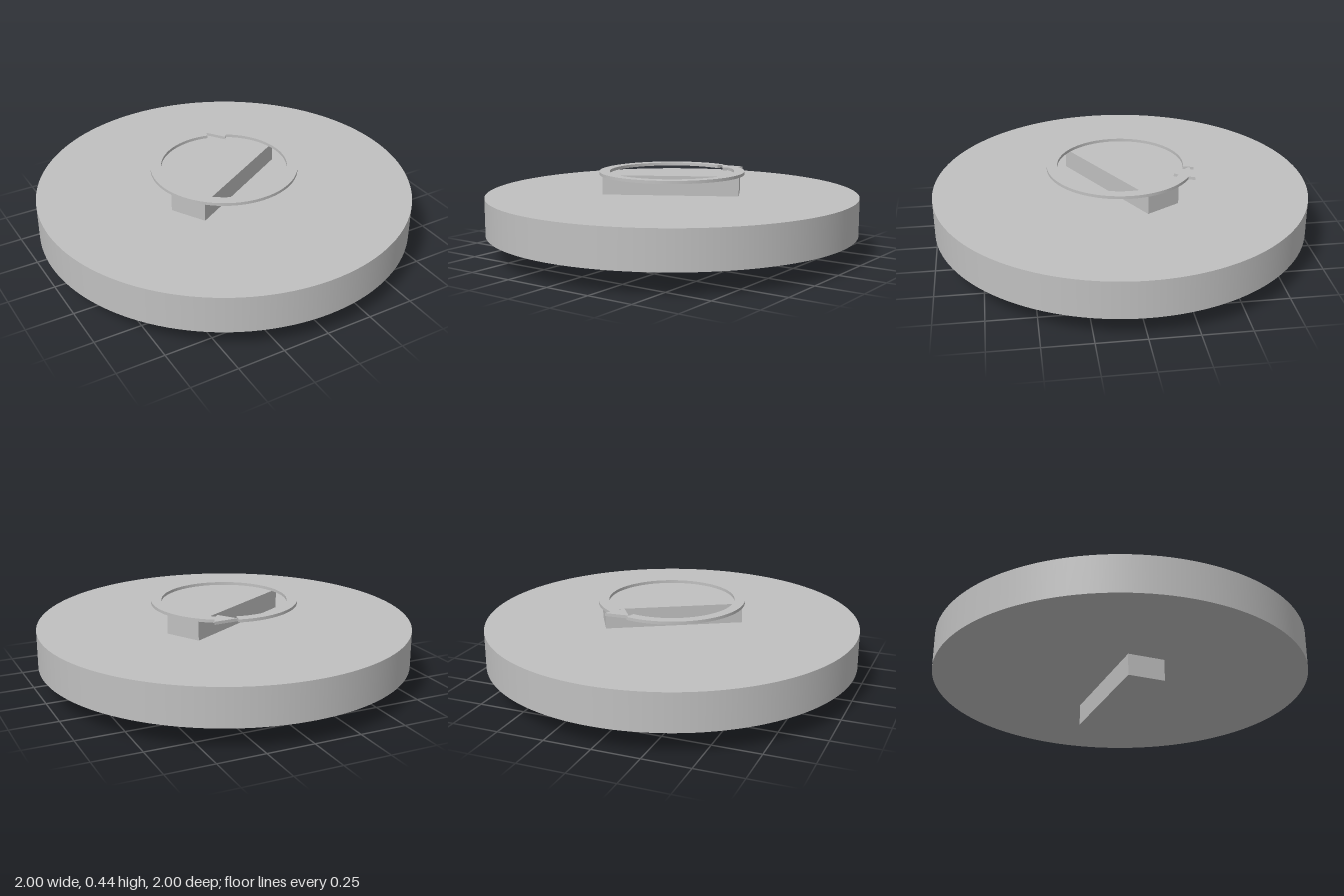
import * as THREE from 'three';

export function createModel() {
  const group = new THREE.Group();
  const grey = new THREE.MeshStandardMaterial({ color: 0xc0c0c0 });
  grey.name = 'light grey';

  const add = (name, geometry, y) => {
    const mesh = new THREE.Mesh(geometry, grey);
    mesh.name = name;
    mesh.position.y = y;
    group.add(mesh);
    return mesh;
  };

  // Main round plate
  add('disc', new THREE.CylinderGeometry(1, 1, 0.2, 128), 0.217);

  // Bar passing through the plate, turned 30 degrees
  add('bar', new THREE.BoxGeometry(0.728, 0.422, 0.2), 0.211).rotation.y = Math.PI / 6;

  // Open ring whose end is an arrowhead, drawn flat (shape y becomes -z)
  const outer = 0.391, inner = 0.335;
  const start = THREE.MathUtils.degToRad(76);
  const end = THREE.MathUtils.degToRad(58) + Math.PI * 2;
  const shape = new THREE.Shape();
  shape.absarc(0, 0, outer, start, end, false);
  shape.lineTo(0.222, 0.365); // outer barb
  shape.lineTo(0.092, 0.357); // tip
  shape.lineTo(0.16, 0.262); // inner barb
  shape.absarc(0, 0, inner, end, start, true);
  shape.closePath();
  const ring = new THREE.ExtrudeGeometry(shape, { depth: 0.016, bevelEnabled: false, curveSegments: 96 });
  ring.rotateX(-Math.PI / 2);
  add('arrowRing', ring, 0.422);

  return group;
}
